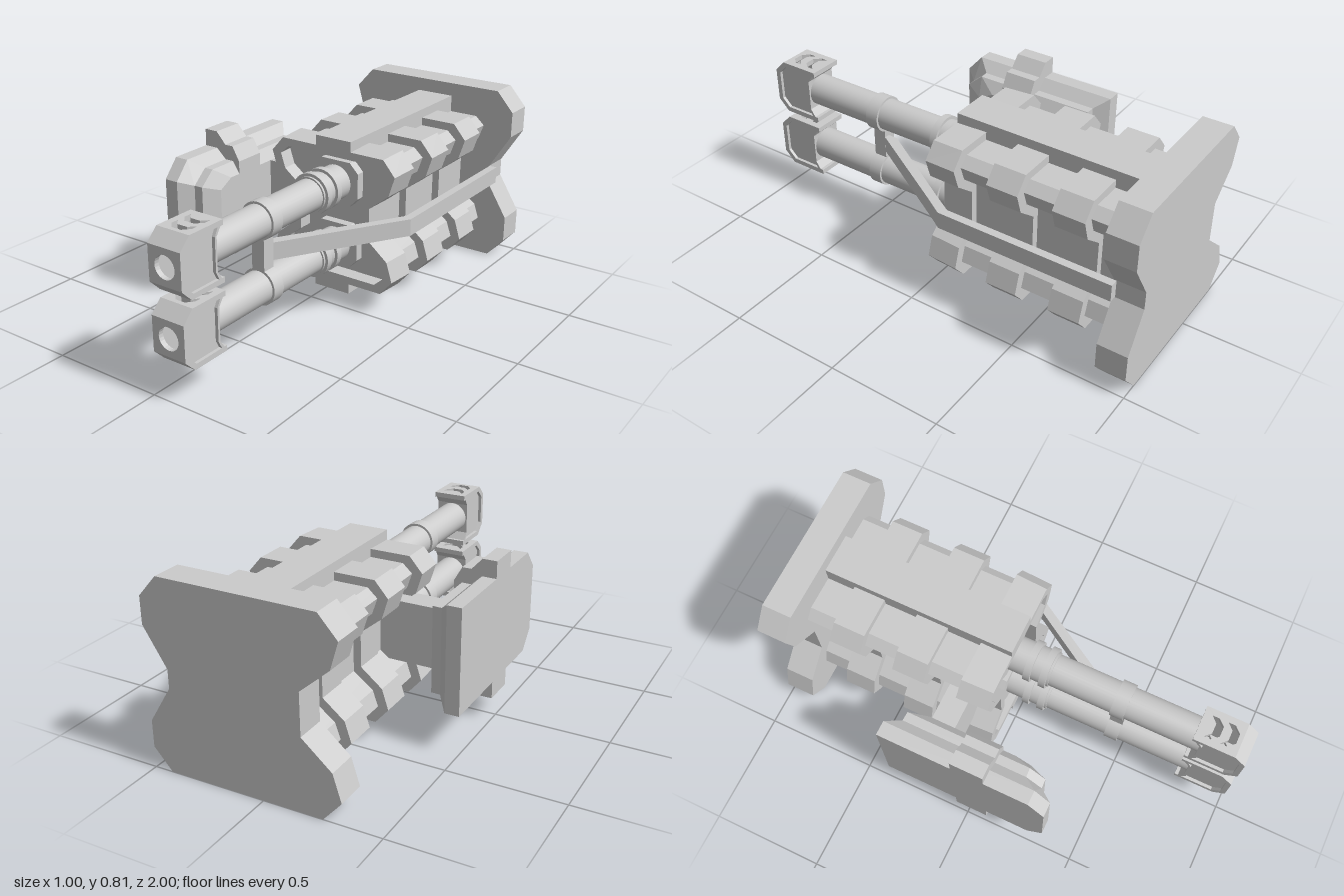
import * as THREE from 'three';

const flat = new THREE.MeshStandardMaterial({ color: 0xcccccc, flatShading: true });
const smooth = new THREE.MeshStandardMaterial({ color: 0xcccccc });
const CX = 0.09, CY = 0.405;

function add(parent, name, geometry, material = flat) {
  const m = new THREE.Mesh(geometry, material);
  m.name = name;
  parent.add(m);
}

const toShape = pts => new THREE.Shape(pts.map(([x, y]) => new THREE.Vector2(x, y)));

// Straight extrusion of an outline, from z0 to z1
function prism(pts, z0, z1, holes = []) {
  const shape = toShape(pts);
  shape.holes = holes.map(toShape);
  const g = new THREE.ExtrudeGeometry(shape, { depth: z1 - z0, bevelEnabled: false });
  return g.translate(0, 0, z0);
}

function box(x0, x1, y0, y1, z0, z1) {
  return new THREE.BoxGeometry(x1 - x0, y1 - y0, z1 - z0)
    .translate((x0 + x1) / 2, (y0 + y1) / 2, (z0 + z1) / 2);
}

// Mirrors a quarter outline into a full one
function fourWay(q, cx = CX, cy = CY) {
  const r = [...q].reverse();
  return [
    ...r.map(([x, y]) => [cx + x, cy + y]),
    ...q.map(([x, y]) => [cx - x, cy + y]),
    ...r.map(([x, y]) => [cx - x, cy - y]),
    ...q.map(([x, y]) => [cx + x, cy - y]),
  ];
}

// Skin over convex rings, with both ends closed
function loft(rings) {
  const n = rings[0].length, idx = [];
  for (let k = 0; k < rings.length - 1; k++)
    for (let i = 0; i < n; i++) {
      const a = k * n + i, b = k * n + (i + 1) % n;
      idx.push(a, b, b + n, a, b + n, a + n);
    }
  const e = (rings.length - 1) * n;
  for (let i = 1; i < n - 1; i++) idx.push(0, i + 1, i, e, e + i, e + i + 1);
  const g = new THREE.BufferGeometry();
  g.setAttribute('position', new THREE.Float32BufferAttribute(rings.flat(2), 3));
  g.setIndex(idx);
  const out = g.toNonIndexed();
  out.computeVertexNormals();
  return out;
}

function makeBody() {
  const body = new THREE.Group();
  body.name = 'body';
  const ribLine = fourWay([[0.258, 0.305], [0.316, 0.238], [0.288, 0.15], [0.195, 0.075]]);
  const coreLine = fourWay([[0.228, 0.27], [0.27, 0.232], [0.247, 0.165], [0.162, 0.1]]);

  // Back plate with a notch in each side
  add(body, 'backPlate', prism([
    [-0.255, 0], [0.42, 0], [0.5, 0.09], [0.5, 0.205], [0.4, 0.365], [0.4, 0.445], [0.5, 0.605],
    [0.5, 0.72], [0.42, 0.81], [-0.255, 0.81], [-0.335, 0.72], [-0.3, 0.605], [-0.173, 0.495],
    [-0.173, 0.315], [-0.3, 0.205], [-0.335, 0.09],
  ], -1, -0.87));
  add(body, 'core', prism(coreLine, -0.88, -0.09));
  for (const z of [-0.74, -0.45]) add(body, 'rib', prism(ribLine, z, z + 0.14));

  // Front rim, slightly tapered, leaving a recess in front of the core
  const rim = prism(ribLine, -0.16, -0.02, [coreLine]);
  const p = rim.attributes.position;
  for (let i = 0; i < p.count; i++)
    if (p.getZ(i) > -0.09)
      p.setXY(i, CX + (p.getX(i) - CX) * 0.98, CY + (p.getY(i) - CY) * 0.985);
  rim.computeVertexNormals();
  add(body, 'frontRim', rim);

  // Spines along top and bottom
  add(body, 'topSpine', box(0.01, 0.185, 0.672, 0.75, -0.88, -0.02));
  add(body, 'bottomSpine', box(0.01, 0.185, 0.06, 0.138, -0.88, -0.02));
  return body;
}

function makeMuzzle() {
  const g = new THREE.Group();
  g.name = 'muzzle';
  const w = 0.077;
  // Outer and inner outlines in z, y
  const outer = [[1, 0.075], [0.95, 0.125], [0.77, 0.125], [0.807, 0.07],
    [0.807, -0.07], [0.77, -0.125], [0.95, -0.125], [1, -0.075]];
  const inner = [[0.978, 0.066], [0.941, 0.103], [0.8, 0.103], [0.817, 0.07],
    [0.817, -0.07], [0.8, -0.103], [0.941, -0.103], [0.978, -0.066]];
  // Chamfers and rear walls
  for (const i of [0, 2, 3, 4, 6]) {
    const wall = prism([outer[i], outer[i + 1], inner[i + 1], inner[i]], -w, w);
    add(g, 'muzzleWall', wall.rotateY(-Math.PI / 2));
  }
  // Front wall with the bore
  const bore = Array.from({ length: 24 }, (_, i) => {
    const a = i / 24 * Math.PI * 2;
    return [0.048 * Math.cos(a), 0.048 * Math.sin(a)];
  });
  add(g, 'muzzleFront', prism([[-w, -0.075], [w, -0.075], [w, 0.075], [-w, 0.075]], 0.978, 1, [bore]));
  // Top and bottom walls with two vents each
  const vents = [0.804, 0.873].map(z => [[-0.048, z], [-0.022, z + 0.026], [0.022, z + 0.026],
    [0.048, z], [0.048, z + 0.03], [0.022, z + 0.058], [-0.022, z + 0.058], [-0.048, z + 0.03]]);
  for (const y of [0.125, -0.103]) {
    const plate = prism([[-w, 0.77], [w, 0.77], [w, 0.95], [-w, 0.95]], 0, 0.022, vents);
    add(g, 'ventPlate', plate.rotateX(Math.PI / 2).translate(0, y, 0));
  }
  // Sunken side panels
  for (const s of [-1, 1]) {
    const side = prism(inner, -0.005, 0.005);
    add(g, 'sidePanel', side.rotateY(-Math.PI / 2).translate(s * 0.058, 0, 0));
  }
  return g;
}

function makeBarrel(y) {
  const g = new THREE.Group();
  g.name = 'barrel';
  const tube = (name, r, z0, z1) => add(g, name, new THREE.CylinderGeometry(r, r, z1 - z0, 32)
    .rotateX(Math.PI / 2).translate(0, 0, (z0 + z1) / 2), smooth);
  tube('barrelTube', 0.07, -0.1, 0.815);
  for (const [z0, z1] of [[0.03, 0.06], [0.1, 0.13]]) tube('collar', 0.09, z0, z1);
  tube('baseSleeve', 0.077, -0.1, 0.14);
  tube('clampRing', 0.08, 0.42, 0.48);
  // Eight-sided mount inside the recess
  add(g, 'barrelMount', prism(fourWay([[0.072, 0.098], [0.113, 0.056]], 0, 0), -0.1, -0.05));
  g.add(makeMuzzle());
  g.position.set(CX, y, 0);
  return g;
}

function makeSideShield() {
  const g = new THREE.Group();
  g.name = 'sideShield';
  // x, shrink in y, shrink in z
  const steps = [[-0.5, 0, 0], [-0.437, 0, 0], [-0.39, 0.043, 0.058], [-0.35, 0.043, 0.06], [-0.315, 0.095, 0.14]];
  add(g, 'shieldPlate', loft(steps.map(([x, d, e]) => {
    const h = 0.23 - d, m = 0.15 - d * 0.55, f = 0.36 - e, b = -0.38 + e;
    return [[f - 0.07, h], [f, m], [f, -m], [f - 0.07, -h], [b, -h], [b, h]]
      .map(([z, y]) => [x, CY + y, z]);
  })));
  // Raised band over top and bottom
  add(g, 'shieldBand', loft(steps.map(([x, d]) => {
    const h = 0.305 - d * 1.2;
    return [[0.095, h], [0.095, -h], [-0.05, -h], [-0.05, h]].map(([z, y]) => [x, CY + y, z]);
  })));
  add(g, 'shieldBracket', box(-0.33, -0.06, 0.275, 0.54, -0.23, -0.125));
  return g;
}

export function createModel() {
  const model = new THREE.Group();
  model.name = 'twinCannon';
  model.add(makeBody(), makeBarrel(0.548), makeBarrel(0.265), makeSideShield());

  // Link between the two barrels and the bent brace that holds it
  add(model, 'barrelLink', box(0.06, 0.12, 0.33, 0.485, 0.42, 0.48));
  const brace = prism([[0.435, -0.88], [0.435, -0.1], [0.385, -0.02], [0.095, 0.46], [0.095, 0.375],
    [0.34, -0.02], [0.4, -0.12], [0.4, -0.88]], 0, 0.075);
  add(model, 'brace', brace.rotateX(Math.PI / 2).translate(0, 0.443, 0));
  return model;
}
